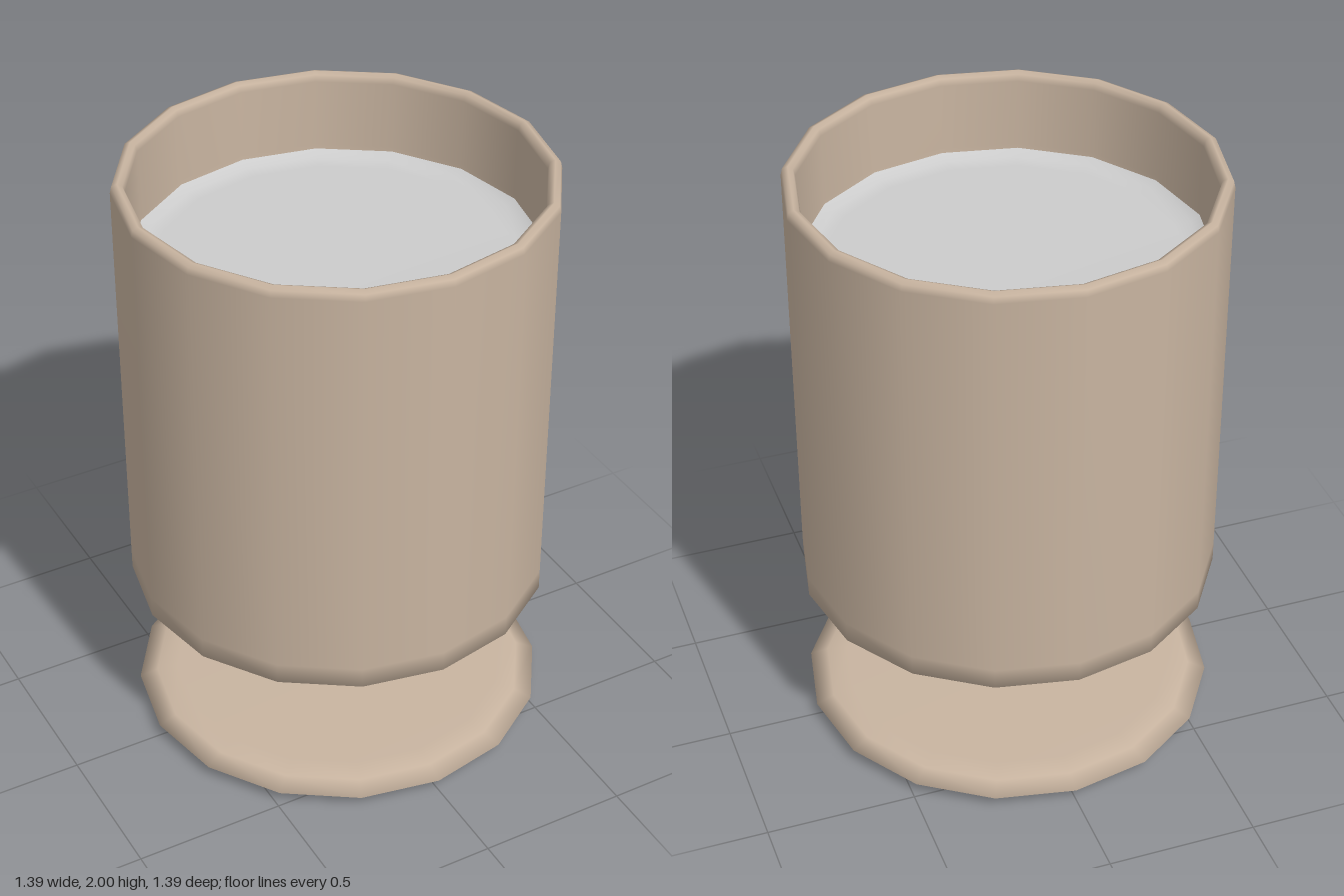
import * as THREE from 'three';

const SIDES = 16;

// Turn a [radius, height] profile (bottom to top on the outside) around y
function turned(name, profile, material, sides = SIDES) {
  const points = profile.map(([r, y]) => new THREE.Vector2(r, y));
  const mesh = new THREE.Mesh(new THREE.LatheGeometry(points, sides), material);
  mesh.name = name;
  return mesh;
}

export function createModel() {
  const group = new THREE.Group();
  group.name = 'footedCup';
  const clay = new THREE.MeshStandardMaterial({ color: 0xc8b4a0 });
  const grey = new THREE.MeshStandardMaterial({ color: 0xcccccc });

  // Flat foot with a thin, tapered edge
  group.add(turned('foot', [
    [0, 0], [0.56, 0], [0.63, 0.015], [0.69, 0.042],
    [0.63, 0.067], [0.56, 0.08], [0, 0.08],
  ], clay));

  // Short eight-sided stem
  const stem = new THREE.Mesh(
    new THREE.CylinderGeometry(0.167, 0.167, 0.44, 8, 1, true), clay);
  stem.name = 'stem';
  stem.position.y = 0.29;
  group.add(stem);

  // Hollow bowl: underside, outer wall, rounded rim, inner wall
  group.add(turned('bowl', [
    [0, 0.5], [0.55, 0.5], [0.64, 0.51], [0.695, 0.53], [0.695, 0.6],
    [0.695, 1.97], [0.69, 1.992], [0.672, 2], [0.656, 1.992],
    [0.65, 1.97], [0.65, 1.74], [0.645, 1.69],
  ], clay));

  // Filling, its edge rising slightly against the inner wall
  group.add(turned('filling', [
    [0.65, 1.725], [0.62, 1.705], [0.57, 1.7], [0, 1.7],
  ], grey));

  return group;
}
